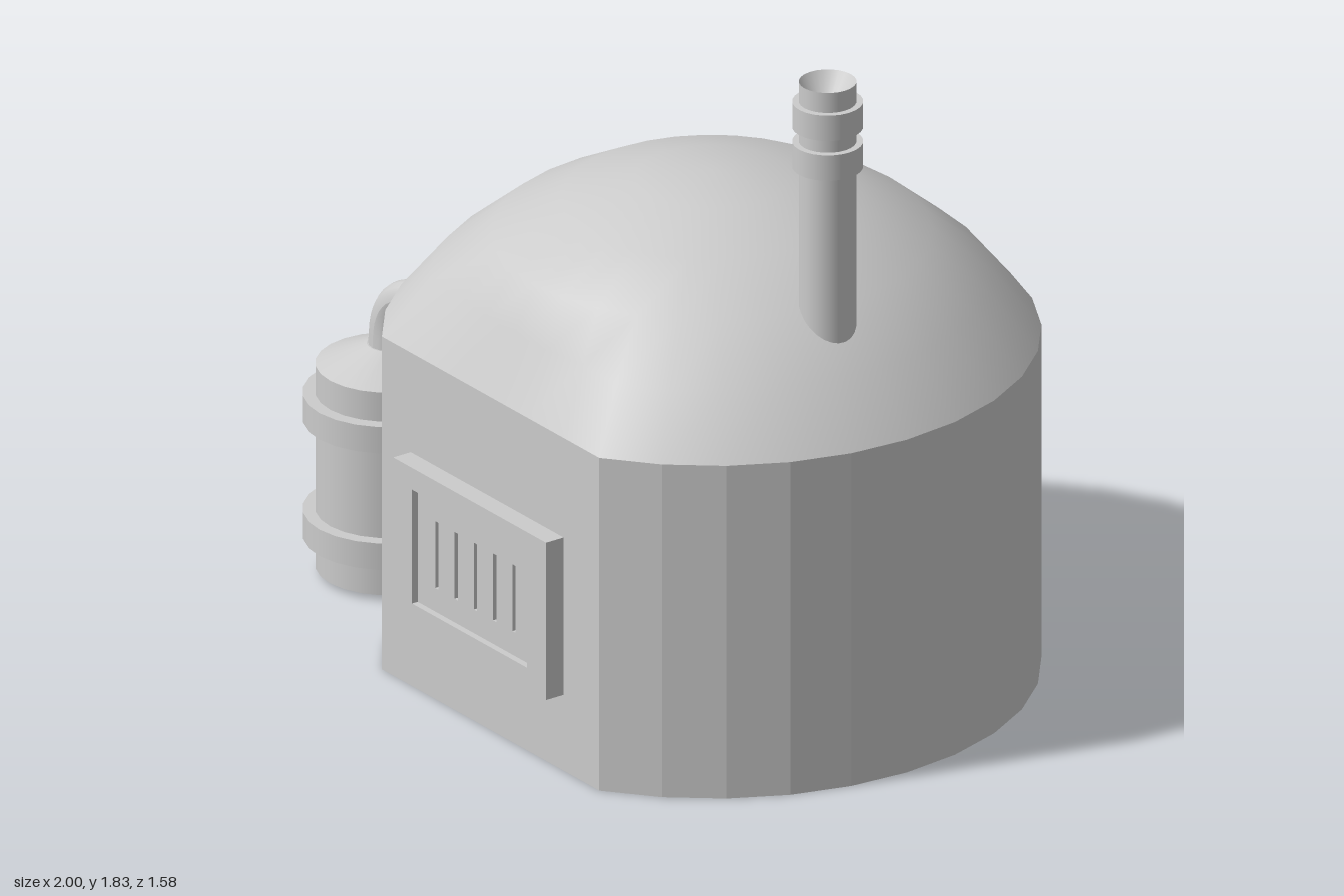
import * as THREE from 'three';

const grey = new THREE.MeshStandardMaterial({ color: 0xcccccc });
const thin = new THREE.MeshStandardMaterial({ color: 0xcccccc, side: THREE.DoubleSide });

// Body circle: 32 steps, with six of them replaced by one flat front
const CX = 0.167, CZ = 0.037, R = 0.832, STEPS = 32, FLAT = 6;
const WALL_TOP = 0.92, DOME_TOP = 1.365;
const ARC = STEPS - FLAT;

function ringPoint(k, r, y) {
  const a = THREE.MathUtils.degToRad(32.7) + (k / STEPS) * Math.PI * 2;
  return new THREE.Vector3(CX + r * Math.sin(a), y, CZ + r * Math.cos(a));
}

function add(parent, name, geometry, material = grey) {
  const mesh = new THREE.Mesh(geometry, material);
  mesh.name = name;
  parent.add(mesh);
  return mesh;
}

function cylinder(parent, name, rTop, rBottom, y0, y1, sides = 24) {
  const mesh = add(parent, name, new THREE.CylinderGeometry(rTop, rBottom, y1 - y0, sides));
  mesh.position.y = (y0 + y1) / 2;
  return mesh;
}

function rectangle(Type, w, h, x = 0) {
  return new Type([[-1, -1], [1, -1], [1, 1], [-1, 1]].map(
    ([i, j]) => new THREE.Vector2(x + i * w / 2, j * h / 2)));
}

function wallGeometry() {
  const outline = [];
  for (let k = 0; k <= ARC; k++) {
    const p = ringPoint(k, R, 0);
    outline.push(new THREE.Vector2(p.x, -p.z));
  }
  const g = new THREE.ExtrudeGeometry(new THREE.Shape(outline), { depth: WALL_TOP, bevelEnabled: false });
  return g.rotateX(-Math.PI / 2);
}

// Spherical cap whose two lowest rings are pulled in to meet the flat front
function domeGeometry() {
  const rise = DOME_TOP - WALL_TOP, rings = 5;
  const sphere = (R * R + rise * rise) / (2 * rise);
  const span = Math.asin(R / sphere);
  const capPoint = (k, i) => {
    const t = span * i / rings;
    return ringPoint(k, sphere * Math.sin(t), DOME_TOP - sphere * (1 - Math.cos(t)));
  };
  const pos = [CX, DOME_TOP, CZ], index = [];
  const id = (i, k) => 1 + (i - 1) * STEPS + (k % STEPS);
  for (let i = 1; i <= rings; i++) {
    for (let k = 0; k < STEPS; k++) {
      let p = capPoint(k, i);
      if (k > ARC && i >= rings - 1) {
        const t = (k - ARC) / FLAT;
        const onRing = j => capPoint(ARC, j).lerp(capPoint(STEPS, j), t);
        p = onRing(rings);
        if (i === rings - 1) p.lerp(capPoint(k, rings - 2), 0.56);
      }
      pos.push(p.x, p.y, p.z);
      if (i === 1) index.push(0, id(1, k), id(1, k + 1));
      else index.push(id(i, k), id(i, k + 1), id(i - 1, k + 1), id(i, k), id(i - 1, k + 1), id(i - 1, k));
    }
  }
  const g = new THREE.BufferGeometry();
  g.setAttribute('position', new THREE.Float32BufferAttribute(pos, 3));
  g.setIndex(index);
  g.computeVertexNormals();
  return g;
}

// Bent pipe that narrows towards the wall
function elbowGeometry() {
  const v = (x, y, z) => new THREE.Vector3(x, y, z);
  const path = new THREE.CurvePath();
  path.add(new THREE.LineCurve3(v(0, 0.6, 0), v(0, 0.66, 0)));
  path.add(new THREE.CubicBezierCurve3(v(0, 0.66, 0), v(0, 0.75, 0), v(0.06, 0.8, 0.002), v(0.18, 0.811, 0.005)));
  const segments = 16, sides = 16;
  const g = new THREE.TubeGeometry(path, segments, 0.055, sides);
  const pos = g.attributes.position, p = v(0, 0, 0);
  for (let n = 0; n < pos.count; n++) {
    const u = Math.floor(n / (sides + 1)) / segments;
    const c = path.getPointAt(u);
    p.fromBufferAttribute(pos, n).sub(c).multiplyScalar(1 - 0.27 * u).add(c);
    pos.setXYZ(n, p.x, p.y, p.z);
  }
  g.computeVertexNormals();
  return g;
}

// Framed vent: outer frame, recessed plate with slots, backing
function createVent() {
  const vent = new THREE.Group();
  vent.name = 'frontVent';
  const frame = rectangle(THREE.Shape, 0.65, 0.435);
  frame.holes.push(rectangle(THREE.Path, 0.49, 0.315));
  add(vent, 'ventFrame', new THREE.ExtrudeGeometry(frame, { depth: 0.055, bevelEnabled: false }));

  const plate = rectangle(THREE.Shape, 0.49, 0.315);
  for (let i = -2; i <= 2; i++) plate.holes.push(rectangle(THREE.Path, 0.014, 0.185, i * 0.082));
  add(vent, 'ventPlate', new THREE.ExtrudeGeometry(plate, { depth: 0.025, bevelEnabled: false })).position.z = 0.012;
  add(vent, 'ventBacking', new THREE.BoxGeometry(0.49, 0.315, 0.01)).position.z = 0.006;

  const a = ringPoint(ARC, R, 0), b = ringPoint(0, R, 0);
  vent.position.set(0.14, 0.4275, THREE.MathUtils.lerp(a.z, b.z, (0.14 - a.x) / (b.x - a.x)));
  vent.rotation.y = -Math.atan2(b.z - a.z, b.x - a.x);
  return vent;
}

function createChimney() {
  const chimney = new THREE.Group();
  chimney.name = 'chimney';
  chimney.position.set(0.725, 0, 0.095);
  const pipe = new THREE.CylinderGeometry(0.073, 0.073, 0.825, 24, 1, true);
  add(chimney, 'chimneyPipe', pipe, thin).position.y = 1.4125;
  // Funnel-shaped mouth
  const mouth = [[0, 1.77], [0.032, 1.77], [0.073, 1.825]].map(([r, y]) => new THREE.Vector2(r, y));
  add(chimney, 'chimneyMouth', new THREE.LatheGeometry(mouth, 24), thin);
  for (const y of [1.59, 1.7]) cylinder(chimney, 'chimneyBand', 0.09, 0.09, y, y + 0.07);
  return chimney;
}

function createTank() {
  const tank = new THREE.Group();
  tank.name = 'sideTank';
  tank.position.set(-0.778, 0, 0.337);
  cylinder(tank, 'tankBody', 0.187, 0.187, 0.015, 0.575);
  cylinder(tank, 'tankLid', 0.057, 0.187, 0.575, 0.63);
  for (const y of [0.1, 0.422]) cylinder(tank, 'tankBand', 0.221, 0.221, y, y + 0.073);
  add(tank, 'tankElbowPipe', elbowGeometry(), thin);
  return tank;
}

export function createModel() {
  const model = new THREE.Group();
  model.name = 'domedHut';
  add(model, 'wall', wallGeometry());
  add(model, 'domeRoof', domeGeometry());
  model.add(createVent(), createChimney(), createTank());
  return model;
}
